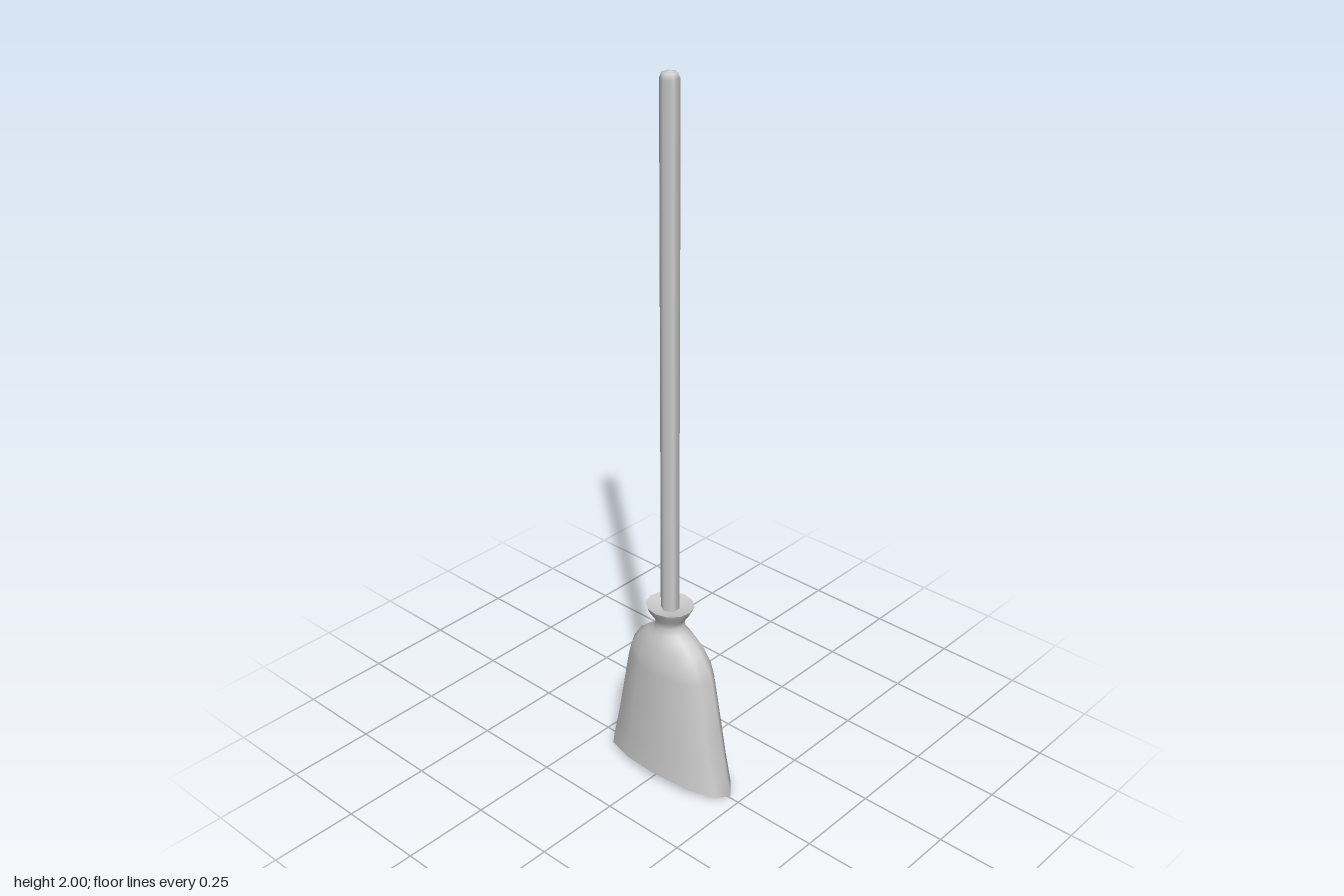
import * as THREE from 'three';

const SIDES = 12;
const TWIST = -0.07;
const CX = -0.004; // handle axis

// Joins elliptical rings [y, rx, rz, centreX, hem] from first to last; hem blends in the wavy bottom edge
function loft(rings, material, name) {
  const positions = [], index = [];
  for (const [y, rx, rz, cx = 0, hem = 0] of rings) {
    for (let i = 0; i < SIDES; i++) {
      const a = (i / SIDES) * Math.PI * 2 + TWIST;
      const wave = hem * (0.007 * Math.sin(a) - 0.019 * Math.cos(a) ** 2);
      positions.push(cx + rx * Math.cos(a), y + wave, rz * Math.sin(a));
    }
  }
  for (let r = 0; r < rings.length - 1; r++) {
    for (let i = 0; i < SIDES; i++) {
      const j = (i + 1) % SIDES;
      const a = r * SIDES + i, b = r * SIDES + j;
      const c = a + SIDES, d = b + SIDES;
      index.push(a, c, b, b, c, d);
    }
  }
  const geometry = new THREE.BufferGeometry();
  geometry.setAttribute('position', new THREE.Float32BufferAttribute(positions, 3));
  geometry.setIndex(index);
  geometry.computeVertexNormals();
  const mesh = new THREE.Mesh(geometry, material);
  mesh.name = name;
  return mesh;
}

export function createModel() {
  const group = new THREE.Group();
  group.name = 'broom';
  const material = new THREE.MeshStandardMaterial({ color: 0xcccccc, side: THREE.DoubleSide });

  // Six-sided handle with a rounded tip
  const profile = [[0.024, 0.47], [0.024, 1.98], [0.019, 1.994], [0.001, 2]];
  const handle = new THREE.Mesh(
    new THREE.LatheGeometry(profile.map(([r, y]) => new THREE.Vector2(r, y)), 6), material);
  handle.name = 'handle';
  handle.position.x = CX;
  handle.scale.x = 1.1;
  group.add(handle);

  // Bristles: flat wide skirt, round shoulder, tied neck and flared collar
  group.add(loft([
    [0.021, 0.218, 0.089, 0, 1],
    [0.11, 0.196, 0.084, 0, 0.5],
    [0.21, 0.174, 0.08],
    [0.35, 0.146, 0.073],
    [0.385, 0.134, 0.069],
    [0.425, 0.108, 0.06],
    [0.45, 0.076, 0.05, -0.002],
    [0.466, 0.05, 0.043, CX],
    [0.485, 0.041, 0.039, CX],
    [0.502, 0.044, 0.042, CX],
    [0.525, 0.062, 0.056, CX],
    [0.541, 0.069, 0.063, CX],
  ], material, 'bristles'));

  // Shallow dish closing the collar around the handle
  group.add(loft([
    [0.541, 0.069, 0.063, CX],
    [0.534, 0.045, 0.042, CX],
    [0.53, 0.015, 0.015, CX],
  ], material, 'collarTop'));

  // Slightly hollow underside
  group.add(loft([
    [0.03, 0.001, 0.001],
    [0.027, 0.11, 0.045, 0, 0.4],
    [0.021, 0.218, 0.089, 0, 1],
  ], material, 'bristleEnds'));

  return group;
}
